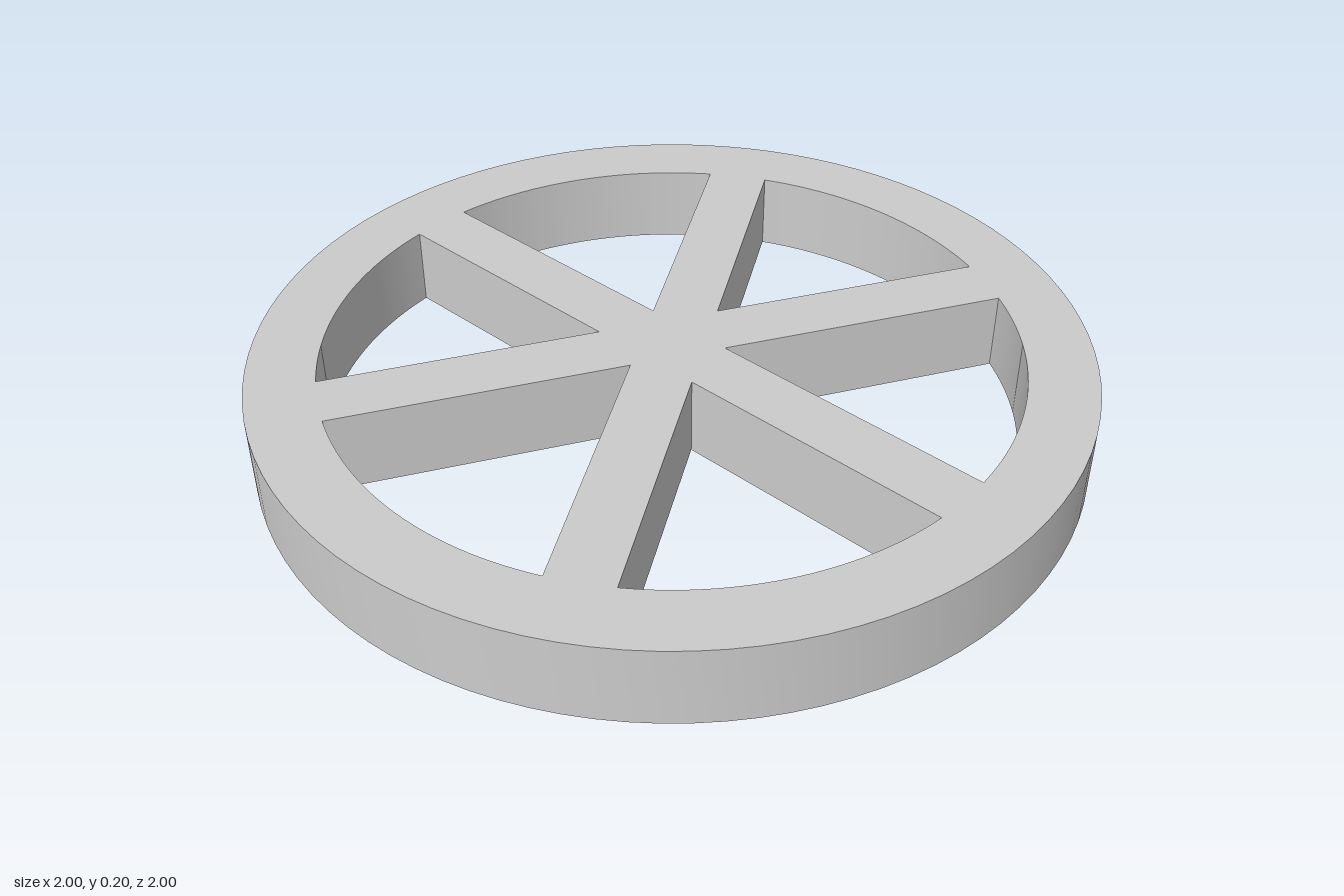
import * as THREE from 'three';
import { toCreasedNormals } from 'three/addons/utils/BufferGeometryUtils.js';

const OUTER = 1, INNER = 0.834, HEIGHT = 0.2, HALF_SPOKE = 0.077;

// Spokes every 60 degrees; the bar running from 30 to 210 degrees sits slightly off centre.
const spokes = [30, 90, 150, 210, 270, 330].map((deg) => {
  const a = THREE.MathUtils.degToRad(deg);
  return {
    dir: new THREE.Vector2(Math.cos(a), Math.sin(a)),
    normal: new THREE.Vector2(-Math.sin(a), Math.cos(a)),
    offset: deg === 30 ? 0.029 : deg === 210 ? -0.029 : 0,
  };
});

// Point where a spoke edge meets the inside of the rim
function rimPoint(spoke, edge) {
  return spoke.dir.clone().multiplyScalar(Math.sqrt(INNER * INNER - edge * edge))
    .addScaledVector(spoke.normal, edge);
}

// Point where the facing edges of two spokes cross
function crossing(s, e, t, f) {
  const det = s.normal.cross(t.normal);
  return new THREE.Vector2(
    (e * t.normal.y - f * s.normal.y) / det,
    (s.normal.x * f - t.normal.x * e) / det
  );
}

// Opening between two neighbouring spokes
function opening(s, t) {
  const e = s.offset + HALF_SPOKE, f = t.offset - HALF_SPOKE;
  const tip = crossing(s, e, t, f), start = rimPoint(s, e), end = rimPoint(t, f);
  const path = new THREE.Path();
  path.moveTo(tip.x, tip.y);
  path.lineTo(start.x, start.y);
  path.absarc(0, 0, INNER, start.angle(), end.angle(), false);
  path.lineTo(tip.x, tip.y);
  return path;
}

export function createModel() {
  const group = new THREE.Group();
  group.name = 'spokedWheel';

  // Rim and spokes are one slab with six openings
  const shape = new THREE.Shape().absarc(0, 0, OUTER, 0, Math.PI * 2, false);
  spokes.forEach((s, i) => shape.holes.push(opening(s, spokes[(i + 1) % 6])));
  const extruded = new THREE.ExtrudeGeometry(shape, {
    depth: HEIGHT, bevelEnabled: false, curveSegments: 48,
  });
  extruded.rotateX(-Math.PI / 2);

  const wheel = new THREE.Mesh(
    toCreasedNormals(extruded, Math.PI / 6),
    new THREE.MeshStandardMaterial({ color: 0xcccccc })
  );
  wheel.name = 'rimAndSpokes';
  group.add(wheel);
  return group;
}
